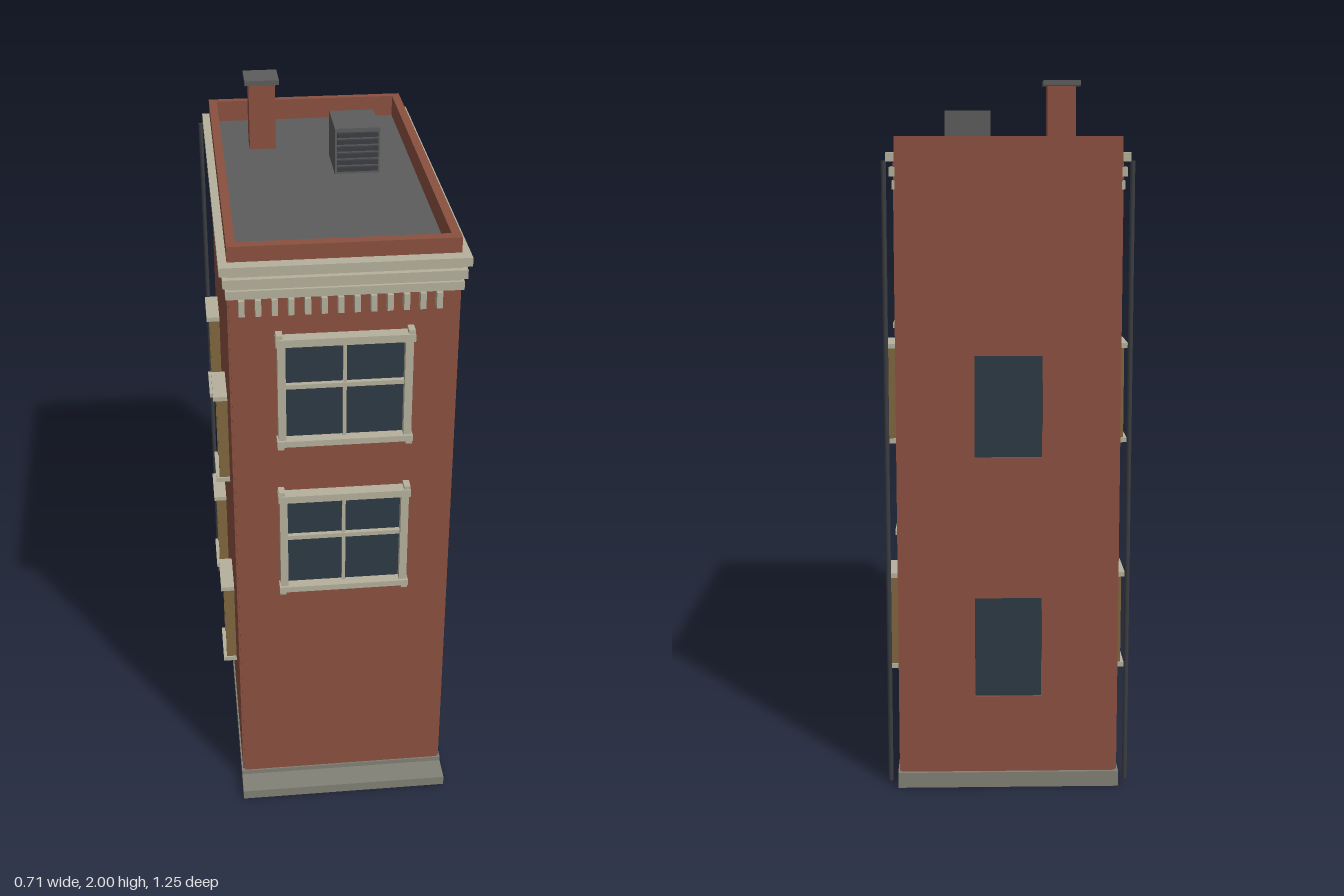
import * as THREE from 'three';

const mat = (name, color) => {
  const m = new THREE.MeshStandardMaterial({ color });
  m.name = name;
  return m;
};

export function createModel() {
  const brick = mat('brick red', 0x8b5140);
  const cream = mat('cream stone', 0xb5b19c);
  const stone = mat('grey stone', 0x828176);
  const roofGrey = mat('roof grey', 0x5d5d5d);
  const glass = mat('window glass', 0x2d3a45);
  const iron = mat('dark iron', 0x3b3e42);
  const wood = mat('brown wood', 0x80663f);

  const model = new THREE.Group();
  model.name = 'townhouse';

  // box given by its min and max on each axis
  const box = (parent, name, m, x0, x1, y0, y1, z0, z1) => {
    const mesh = new THREE.Mesh(new THREE.BoxGeometry(x1 - x0, y1 - y0, z1 - z0), m);
    mesh.position.set((x0 + x1) / 2, (y0 + y1) / 2, (z0 + z1) / 2);
    mesh.name = name;
    parent.add(mesh);
    return mesh;
  };
  const group = (name) => {
    const g = new THREE.Group();
    g.name = name;
    model.add(g);
    return g;
  };
  const rect = (P, x0, x1, y0, y1) =>
    new P([[x0, y0], [x1, y0], [x1, y1], [x0, y1]].map(([x, y]) => new THREE.Vector2(x, y)));

  // walls and base
  box(model, 'walls', brick, -0.312, 0.312, 0.004, 1.775, -0.608, 0.54);
  box(model, 'frontFacade', brick, -0.307, 0.307, 0.004, 1.78, 0.54, 0.547);
  box(model, 'plinth', stone, -0.316, 0.316, 0, 0.045, -0.627, 0.551);
  box(model, 'frontStep', stone, -0.316, 0.316, 0, 0.03, 0.551, 0.627);

  // back wall with recessed windows
  const backShape = rect(THREE.Shape, -0.307, 0.307, 0.004, 1.78);
  const floors = [[0.27, 0.56], [0.965, 1.25]];
  for (const [y0, y1] of floors) {
    backShape.holes.push(rect(THREE.Path, -0.095, 0.095, y0, y1));
    box(model, 'backWindowGlass', glass, -0.094, 0.094, y0, y1, -0.612, -0.606);
  }
  const back = new THREE.Mesh(
    new THREE.ExtrudeGeometry(backShape, { depth: 0.01, bevelEnabled: false }), brick);
  back.position.z = -0.618;
  back.name = 'backWall';
  model.add(back);

  // flat roof inside a brick parapet
  box(model, 'roofDeck', roofGrey, -0.29, 0.29, 1.77, 1.78, -0.6, 0.52);
  const rim = rect(THREE.Shape, -0.309, 0.309, -0.545, 0.62);
  rim.holes.push(rect(THREE.Path, -0.284, 0.284, -0.514, 0.596));
  const parapet = new THREE.Mesh(
    new THREE.ExtrudeGeometry(rim, { depth: 0.07, bevelEnabled: false }), brick);
  parapet.rotation.x = -Math.PI / 2;
  parapet.position.y = 1.775;
  parapet.name = 'parapet';
  model.add(parapet);

  // three cornice bands wrapping the front and sides
  const cornice = group('cornice');
  for (const [y0, y1, out] of [[1.703, 1.727, 0.019], [1.738, 1.763, 0.026], [1.777, 1.802, 0.035]]) {
    box(cornice, 'frontBand', cream, -0.297 - out, 0.297 + out, y0, y1, 0.54, 0.546 + out);
    for (const s of [-1, 1]) {
      const a = s * 0.3, b = s * (0.297 + out);
      box(cornice, 'sideBand', cream, Math.min(a, b), Math.max(a, b), y0, y1, -0.612, 0.54);
    }
  }
  box(cornice, 'frieze', cream, -0.31, 0.31, 1.703, 1.8, 0.54, 0.556);
  for (let i = 0; i < 13; i++) {
    const x = -0.275 + i * 0.0437;
    box(cornice, 'dentil', cream, x - 0.008, x + 0.008, 1.657, 1.703, 0.545, 0.576);
  }

  // large front windows
  for (const y of [0.75, 1.245]) {
    const w = group('frontWindow');
    box(w, 'glass', glass, -0.165, 0.165, y + 0.02, y + 0.32, 0.545, 0.552);
    box(w, 'sill', cream, -0.188, 0.188, y + 0.01, y + 0.028, 0.545, 0.584);
    box(w, 'hood', cream, -0.188, 0.188, y + 0.32, y + 0.342, 0.545, 0.584);
    box(w, 'mullion', cream, -0.005, 0.005, y + 0.028, y + 0.32, 0.55, 0.562);
    box(w, 'meetingRail', cream, -0.163, 0.163, y + 0.183, y + 0.196, 0.55, 0.566);
    for (const s of [-1, 1]) {
      box(w, 'jamb', cream, s * 0.173 - 0.011, s * 0.173 + 0.011, y + 0.02, y + 0.33, 0.545, 0.576);
      for (const dy of [0, 0.335])
        box(w, 'endBlock', cream, s * 0.178 - 0.009, s * 0.178 + 0.009, y + dy, y + dy + 0.018, 0.545, 0.58);
    }
  }

  // side windows, built on +x and turned for the other side
  for (const s of [-1, 1]) for (const z of [-0.309, 0.207]) for (const y of [0.275, 0.962]) {
    const w = group('sideWindow');
    box(w, 'glass', glass, 0.309, 0.316, y + 0.01, y + 0.285, -0.06, 0.06);
    box(w, 'sill', cream, 0.31, 0.353, y, y + 0.014, -0.077, 0.077);
    box(w, 'lintel', cream, 0.31, 0.353, y + 0.279, y + 0.293, -0.077, 0.077);
    for (const t of [-1, 1])
      box(w, 'jamb', wood, 0.31, 0.343, y + 0.014, y + 0.279, t * 0.065 - 0.007, t * 0.065 + 0.007);
    if (s < 0) w.rotation.y = Math.PI;
    w.position.z = z;
  }

  // downpipes near the back corners
  for (const s of [-1, 1]) {
    const pipe = new THREE.Mesh(new THREE.CylinderGeometry(0.007, 0.007, 1.775, 8), iron);
    pipe.position.set(s * 0.339, 0.8925, -0.58);
    pipe.name = 'downpipe';
    model.add(pipe);
  }

  // chimney
  const chimney = group('chimney');
  box(chimney, 'stack', brick, -0.195, -0.115, 1.775, 1.986, -0.41, -0.33);
  box(chimney, 'cap', roofGrey, -0.207, -0.103, 1.985, 2, -0.423, -0.317);

  // rooftop vent unit with louvres facing front
  const vent = group('ventUnit');
  box(vent, 'housing', roofGrey, 0.043, 0.177, 1.775, 1.92, -0.257, -0.098);
  for (let i = 0; i < 6; i++) {
    const y = 1.79 + i * 0.021;
    box(vent, 'louvre', iron, 0.049, 0.171, y, y + 0.013, -0.098, -0.088);
  }
  return model;
}
